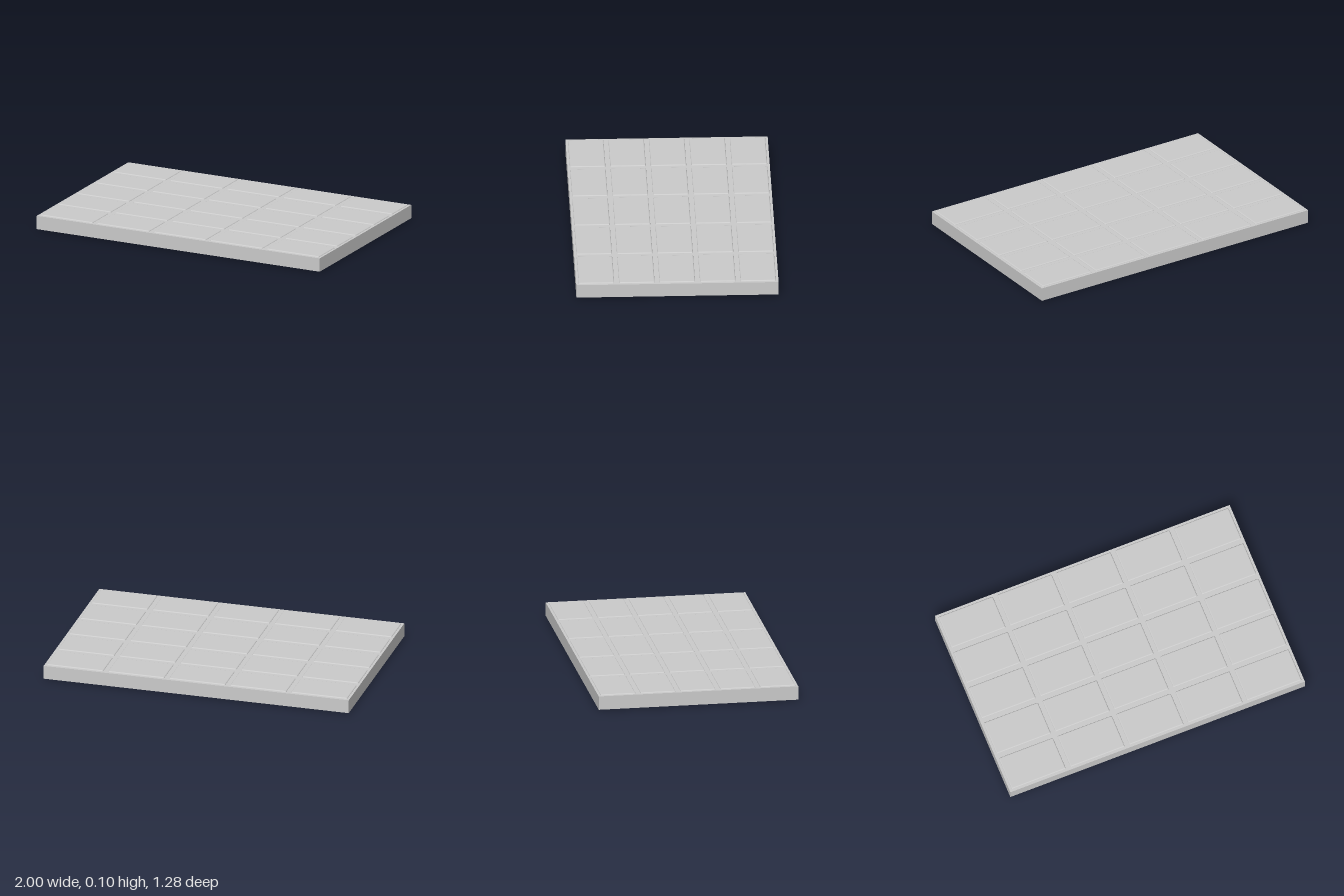
import * as THREE from 'three';
import { RoundedBoxGeometry } from 'three/addons/geometries/RoundedBoxGeometry.js';

const WIDTH = 2, DEPTH = 1.276, HEIGHT = 0.1;
const COUNT = 5, GAP = 0.03;

export function createModel() {
  const model = new THREE.Group();
  const material = new THREE.MeshStandardMaterial({ color: 0xcccccc });

  // Flat slab that shows in the gaps and round the rim
  const slab = new THREE.Mesh(new THREE.BoxGeometry(WIDTH, HEIGHT - 0.012, DEPTH), material);
  slab.name = 'slab';
  slab.position.y = HEIGHT / 2;
  model.add(slab);

  // Soft-edged tiles standing slightly proud of the slab, above and below
  const tiles = new THREE.Group();
  tiles.name = 'tiles';
  const stepX = WIDTH / COUNT, stepZ = DEPTH / COUNT;
  const tileGeometry = new RoundedBoxGeometry(stepX - GAP, HEIGHT, stepZ - GAP, 3, 0.008);
  for (let row = 0; row < COUNT; row++) {
    for (let column = 0; column < COUNT; column++) {
      const tile = new THREE.Mesh(tileGeometry, material);
      tile.name = 'tile';
      tile.position.set(
        (column - (COUNT - 1) / 2) * stepX,
        HEIGHT / 2,
        (row - (COUNT - 1) / 2) * stepZ
      );
      tiles.add(tile);
    }
  }
  model.add(tiles);
  return model;
}
